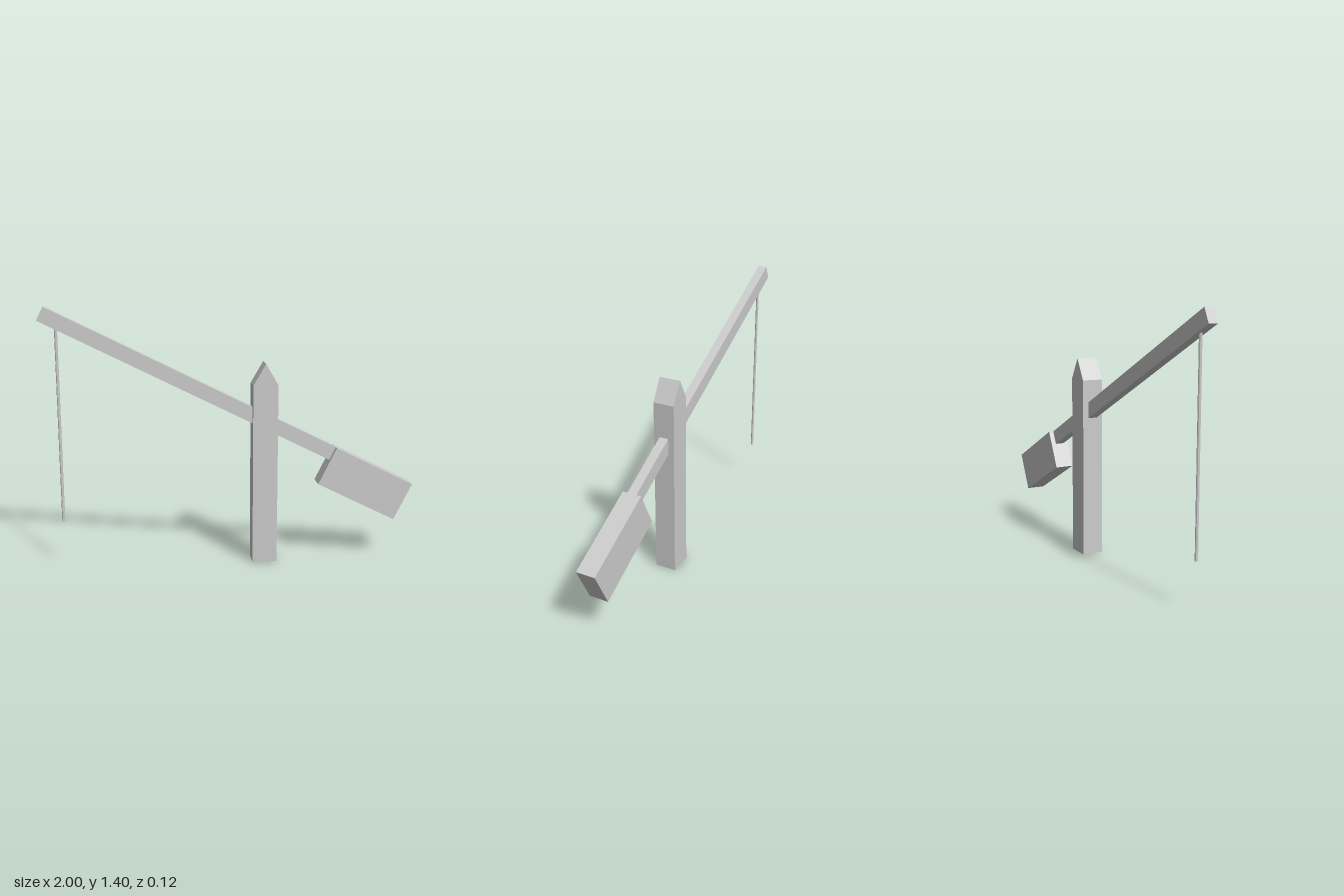
import * as THREE from 'three';

const material = new THREE.MeshStandardMaterial({ color: 0xcccccc, flatShading: true, side: THREE.DoubleSide });

function addMesh(parent, name, geometry, x, y, z) {
  const mesh = new THREE.Mesh(geometry, material);
  mesh.name = name;
  mesh.position.set(x, y, z);
  parent.add(mesh);
  return mesh;
}

// Hollow post with a gabled top and an open foot
function createPost() {
  const post = new THREE.Group();
  post.name = 'post';
  const w = 0.067, d = 0.058, eaves = 0.98, peak = 1.095;
  const outline = [[w, 0], [w, eaves], [0, peak], [-w, eaves], [-w, 0]].map(p => new THREE.Vector2(...p));
  const face = new THREE.ShapeGeometry(new THREE.Shape(outline));
  addMesh(post, 'postFront', face, 0, 0, d);
  addMesh(post, 'postBack', face, 0, 0, -d).rotation.y = Math.PI;

  // Side walls and roof slopes; the foot edge is skipped
  const positions = [];
  for (let i = 0; i < outline.length - 1; i++) {
    const a = outline[i], b = outline[i + 1];
    positions.push(
      a.x, a.y, d, a.x, a.y, -d, b.x, b.y, -d,
      a.x, a.y, d, b.x, b.y, -d, b.x, b.y, d
    );
  }
  const sides = new THREE.BufferGeometry();
  sides.setAttribute('position', new THREE.Float32BufferAttribute(positions, 3));
  sides.computeVertexNormals();
  addMesh(post, 'postSides', sides, 0, 0, 0);
  return post;
}

export function createModel() {
  const model = new THREE.Group();
  model.name = 'wellSweep';

  const post = createPost();
  post.position.x = 0.178;
  model.add(post);

  // Tilted lever, with its origin where the beam's top edge meets the weight
  const lever = new THREE.Group();
  lever.name = 'lever';
  lever.position.set(0.57, 0.63, 0);
  lever.rotation.z = -Math.atan(0.5);
  model.add(lever);

  const beamLength = 1.717, beamHeight = 0.078;
  addMesh(lever, 'beam', new THREE.BoxGeometry(beamLength, beamHeight, 0.05), -beamLength / 2, -beamHeight / 2, 0);

  const weightLength = 0.478, weightHeight = 0.222;
  addMesh(lever, 'counterweight', new THREE.BoxGeometry(weightLength, weightHeight, 0.104), weightLength / 2, -weightHeight / 2, 0);

  // Rope hanging from the high end
  const ropeBottom = 0.25, ropeTop = 1.3;
  addMesh(model, 'rope', new THREE.CylinderGeometry(0.008, 0.008, ropeTop - ropeBottom, 8), -0.907, (ropeTop + ropeBottom) / 2, 0);

  return model;
}
